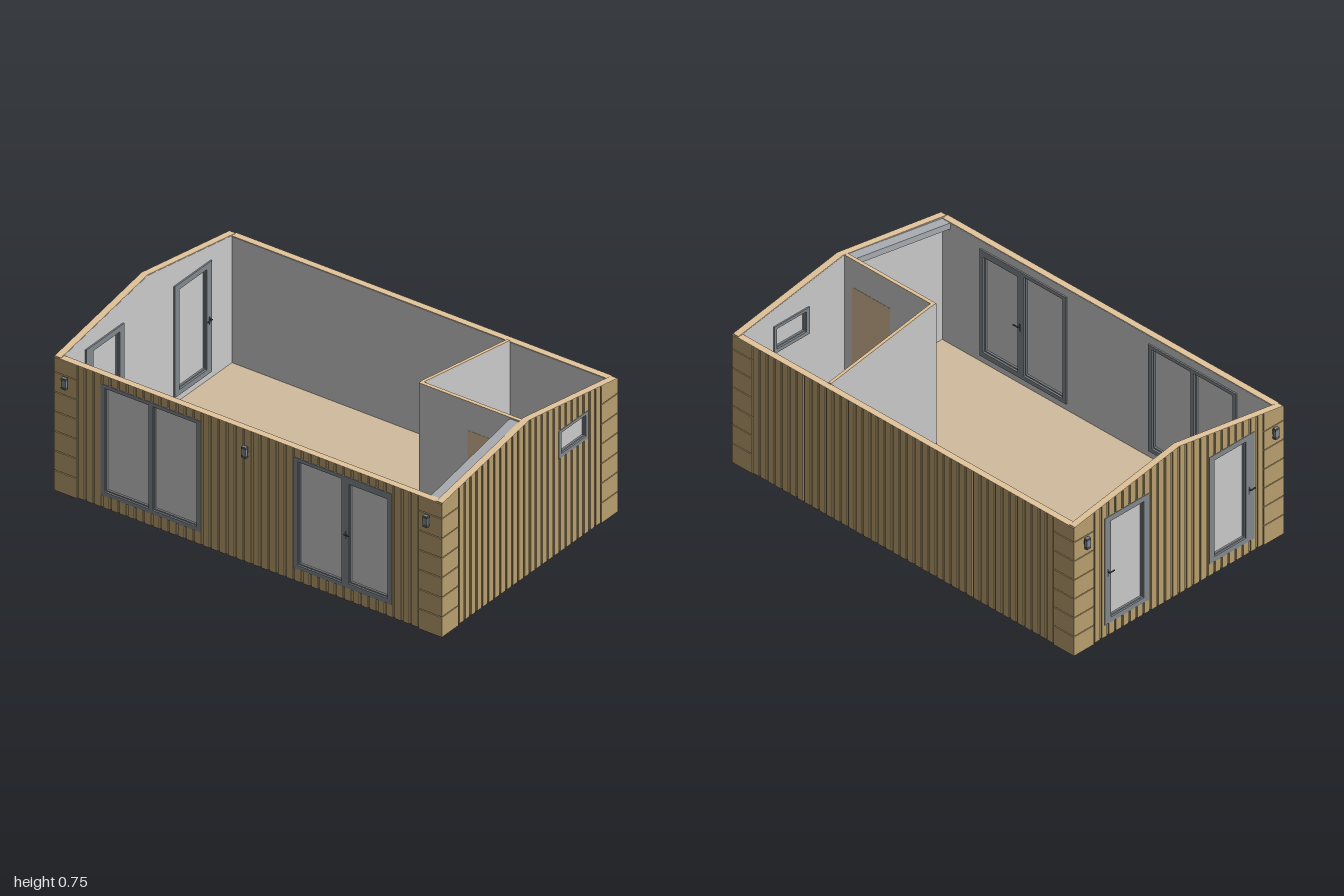
import * as THREE from 'three';
import { mergeGeometries } from 'three/addons/utils/BufferGeometryUtils.js';

const mat = (color) => new THREE.MeshStandardMaterial({ color });
const CLAD = mat(0xb9a070), RIM = mat(0xe3c59c), GREY = mat(0xcccccc), FRAME = mat(0x83898e);
const DARK = mat(0x55585c), FLOOR = mat(0xd0bb9e), UNDER = mat(0x46494c), DOOR = mat(0xd8bd96);
const EAVE = 0.642, RIDGE = 0.745, RIDGE_Z = -0.01, BASE = 0.005;

function add(parent, name, geometry, material, x = 0, y = 0, z = 0) {
  const m = new THREE.Mesh(geometry, material);
  m.name = name;
  m.position.set(x, y, z);
  parent.add(m);
  return m;
}

// Plate with rectangular holes [u0, u1, y0, y1], running from z0 to z1
function plate(points, holes, z0, z1) {
  const shape = new THREE.Shape(points.map(([x, y]) => new THREE.Vector2(x, y)));
  for (const [a, b, c, d] of holes) {
    shape.holes.push(new THREE.Path([[a, c], [a, d], [b, d], [b, c]].map(([x, y]) => new THREE.Vector2(x, y))));
  }
  return new THREE.ExtrudeGeometry(shape, { depth: z1 - z0, bevelEnabled: false }).translate(0, 0, z0);
}
const rect = ([a, b, c, d]) => [[a, c], [b, c], [b, d], [a, d]];

// Vertical slats with gaps, cut round the openings, plus planked corner boards
function cladding(u0, u1, top, peak, openings) {
  const parts = [], board = 0.118, gap = 0.011, plank = 0.095;
  const slat = (a, b, y0, y1) => {
    const pts = [[a, y0], [b, y0]];
    if (y1 !== undefined) pts.push([b, y1], [a, y1]);
    else {
      pts.push([b, top(b)]);
      if (peak > a && peak < b) pts.push([peak, top(peak)]);
      pts.push([a, top(a)]);
    }
    parts.push(plate(pts, [], -0.006, 0));
  };
  const count = Math.round((u1 - u0 - 2 * board) / 0.0425);
  const pitch = (u1 - u0 - 2 * board) / count;
  for (let i = 0; i < count; i++) {
    const a = u0 + board + i * pitch + gap / 2, b = a + pitch - gap;
    const cuts = [a, b];
    for (const o of openings) for (const u of [o[0], o[1]]) if (u > a && u < b) cuts.push(u);
    cuts.sort((p, q) => p - q);
    for (let k = 0; k + 1 < cuts.length; k++) {
      const mid = (cuts[k] + cuts[k + 1]) / 2;
      const o = openings.find((w) => mid > w[0] && mid < w[1]);
      if (o) {
        slat(cuts[k], cuts[k + 1], BASE, o[2]);
        slat(cuts[k], cuts[k + 1], o[3]);
      } else slat(cuts[k], cuts[k + 1], BASE);
    }
  }
  for (const a of [u0, u1 - board]) {
    for (let i = 0; i < 7; i++) {
      const y0 = i * plank + (i ? 0.004 : 0);
      slat(a, a + board, y0, i < 6 ? (i + 1) * plank : undefined);
    }
  }
  return mergeGeometries(parts);
}

// Layered wall: local x runs along it, local z = 0 is the outer face
function wall(name, o) {
  const g = new THREE.Group();
  g.name = name;
  const top = (u) => o.peak === undefined ? EAVE
    : RIDGE - (RIDGE - EAVE) * (u < o.peak ? (o.peak - u) / (o.peak - o.u0) : (u - o.peak) / (o.u1 - o.peak));
  const outline = (a, b, drop = 0) => {
    const p = [[a, BASE], [b, BASE], [b, top(b) - drop]];
    if (o.peak !== undefined) p.push([o.peak, RIDGE - drop]);
    p.push([a, top(a) - drop]);
    return p;
  };
  const holes = o.windows.map((w) => w.rect);
  const [c0, c1] = o.core;
  add(g, name + 'Cladding', cladding(o.u0, o.u1, top, o.peak, holes), CLAD);
  add(g, name + 'Backing', plate(outline(c0, c1, 0.001), holes, -0.01, -0.006), CLAD);
  add(g, name + 'Core', plate(outline(c0, c1), holes, -0.028, -0.01), RIM);
  add(g, name + 'Lining', plate(outline(c0, c1, 0.001), holes, -0.032, -0.028), GREY);
  // Top rim strip
  const strip = outline(c0, c1).slice(2);
  const rim = [...strip, ...strip.slice().reverse().map(([x, y]) => [x, y + 0.003])];
  add(g, name + 'Rim', plate(rim.reverse(), [], -0.032, 0), RIM);
  o.windows.forEach((w) => addWindow(g, w));
  g.position.set(...o.at);
  g.rotation.y = o.turn;
  return g;
}

// Frame, sash rings, panes and optional handle
function addWindow(parent, { rect: r, panes, handle }) {
  const g = new THREE.Group();
  g.name = 'window';
  parent.add(g);
  add(g, 'windowFrame', plate(rect(r), panes, -0.039, 0.002), FRAME);
  for (const [a, b, c, d] of panes) {
    const s = 0.006;
    add(g, 'sash', plate(rect([a, b, c, d]), [[a + s, b - s, c + s, d - s]], -0.03, -0.006), FRAME);
    add(g, 'pane', new THREE.BoxGeometry(b - a, d - c, 0.006), GREY, (a + b) / 2, (c + d) / 2, -0.018);
  }
  if (handle !== undefined) addHandle(g, handle, 0.32, -0.0185, 0.0205, 0.03);
}

// Lever handle on both faces of a door
function addHandle(parent, u, y, zMid, half, lever) {
  for (const s of [-1, 1]) {
    add(parent, 'handlePlate', new THREE.BoxGeometry(0.008, 0.036, 0.003), DARK, u, y, zMid + s * half);
    add(parent, 'handleStem', new THREE.BoxGeometry(0.005, 0.005, 0.012), DARK, u, y + 0.008, zMid + s * (half + 0.006));
    add(parent, 'handleLever', new THREE.BoxGeometry(lever, 0.005, 0.004), DARK, u + lever / 2 - 0.003, y + 0.008, zMid + s * (half + 0.012));
  }
}

function addLamp(parent, u) {
  const g = new THREE.Group();
  g.name = 'wallLamp';
  add(g, 'lampBracket', new THREE.BoxGeometry(0.012, 0.02, 0.01), DARK, 0, 0, 0.005);
  add(g, 'lampBody', new THREE.BoxGeometry(0.022, 0.055, 0.014), FRAME, 0, 0, 0.016);
  for (const s of [-1, 1]) add(g, 'lampCap', new THREE.BoxGeometry(0.024, 0.008, 0.016), DARK, 0, s * 0.02, 0.016);
  g.position.set(u, 0.545, 0);
  parent.add(g);
}

export function createModel() {
  const model = new THREE.Group();
  model.name = 'cabin';

  // Outer walls
  const front = wall('frontWall', {
    u0: -0.98, u1: 1, core: [-0.95, 0.967], at: [0, 0, 0.605], turn: 0,
    windows: [
      { rect: [-0.74, -0.23, 0.065, 0.602], panes: [[-0.72, -0.495, 0.085, 0.585], [-0.475, -0.25, 0.085, 0.585]] },
      { rect: [0.245, 0.745, 0.065, 0.602], panes: [[0.265, 0.49, 0.085, 0.585], [0.525, 0.725, 0.09, 0.57]], handle: 0.512 },
    ],
  });
  const back = wall('backWall', {
    u0: -1, u1: 0.98, core: [-0.967, 0.95], at: [0, 0, -0.63], turn: Math.PI, windows: [],
  });
  const left = wall('leftWall', {
    u0: -0.605, u1: 0.63, core: [-0.599, 0.624], peak: -RIDGE_Z, at: [1, 0, 0], turn: Math.PI / 2,
    windows: [{ rect: [0.212, 0.418, 0.458, 0.592], panes: [[0.23, 0.403, 0.476, 0.578]] }],
  });
  const right = wall('rightWall', {
    u0: -0.63, u1: 0.605, core: [-0.624, 0.599], peak: RIDGE_Z, at: [-0.98, 0, 0], turn: -Math.PI / 2,
    windows: [
      { rect: [-0.45, -0.19, 0.065, 0.602], panes: [[-0.415, -0.22, 0.09, 0.575]], handle: -0.432 },
      { rect: [0.165, 0.43, 0.065, 0.602], panes: [[0.195, 0.38, 0.09, 0.575]], handle: 0.397 },
    ],
  });
  [-0.915, 0.005, 0.93].forEach((u) => addLamp(front, u));
  [-0.565, 0.542].forEach((u) => addLamp(right, u));
  model.add(front, back, left, right);

  // Floor and its dark underside
  add(model, 'floor', new THREE.BoxGeometry(1.918, 0.016, 1.175), FLOOR, 0.009, 0.024, -0.0125);
  add(model, 'floorUnderside', new THREE.BoxGeometry(1.918, 0.006, 1.175), UNDER, 0.009, 0.013, -0.0125);

  // Partition along the depth, following the roof slope
  const side = new THREE.Group();
  side.name = 'sidePartition';
  const low = EAVE + 0.004;
  add(side, 'sidePartitionPanel', plate([[-0.018, 0.03], [0.6, 0.03], [0.6, low], [0.01, 0.741], [-0.018, 0.741]], [], 0, 0.015), GREY);
  add(side, 'sidePartitionRim', plate([[-0.018, 0.741], [0.01, 0.741], [0.6, low], [0.6, low + 0.004], [0.01, 0.745], [-0.018, 0.745]], [], 0, 0.015), RIM);
  side.position.x = 0.455;
  side.rotation.y = Math.PI / 2;
  model.add(side);

  // Partition along the width, with the inner door
  const cross = new THREE.Group();
  cross.name = 'crossPartition';
  const opening = [0.705, 0.925, 0.032, 0.605];
  add(cross, 'crossPartitionPanel', plate(rect([0.47, 0.968, 0.03, 0.741]), [opening], 0, 0.018), GREY);
  add(cross, 'crossPartitionRim', new THREE.BoxGeometry(0.498, 0.004, 0.018), RIM, 0.719, 0.743, 0.009);
  add(cross, 'innerDoor', plate(rect(opening), [], -0.001, 0.019), DOOR);
  addHandle(cross, 0.735, 0.31, 0.009, 0.0115, 0.03);
  model.add(cross);

  // Sloped beam along the left wall, in front of the partition
  const slope = [[-0.573, 0.612], [-0.02, 0.71], [-0.02, 0.74], [-0.573, 0.642]];
  const beam = add(model, 'slopedBeam', plate(slope, [], 0, 0.047), mat(0xa9adb2), 0.921, 0, 0);
  beam.rotation.y = Math.PI / 2;

  return model;
}
